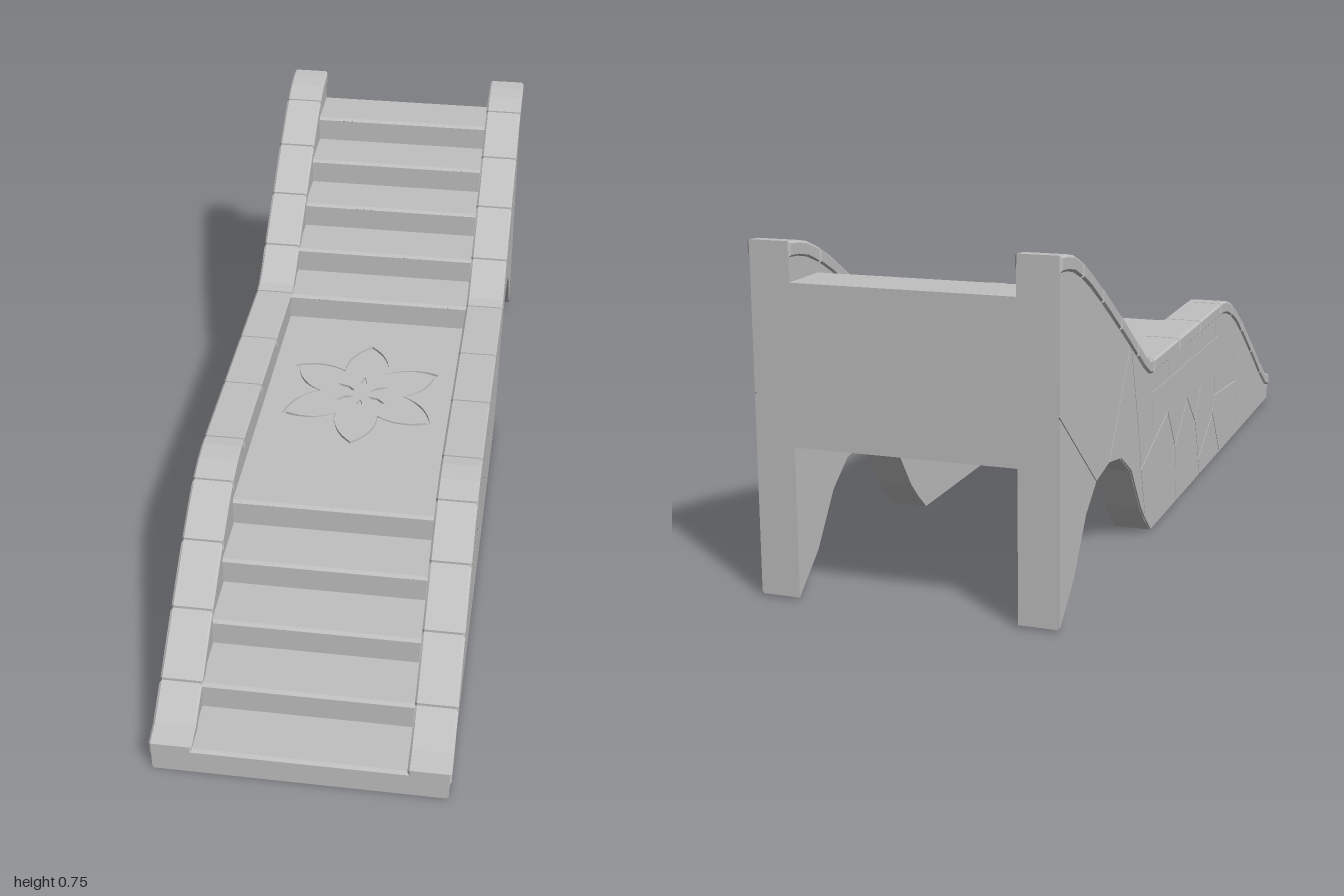
import * as THREE from 'three';

const stone = new THREE.MeshStandardMaterial({ color: 0xc0c0c0 });
stone.name = 'greyStone';

// Top line of the handrail as [z, y], front to back
const RAIL = [[1, .075], [.95, .088], [.87, .138], [.74, .228], [.61, .314], [.53, .362], [.465, .392],
  [.41, .408], [.365, .415], [.333, .415], [-.333, .408], [-.365, .414], [-.41, .438], [-.467, .476],
  [-.59, .556], [-.73, .643], [-.81, .69], [-.865, .718], [-.92, .739], [-.96, .747], [-1, .75]];

const ARCH = [[-.333, 0], [-.38, .04], [-.42, .08], [-.5, .19], [-.58, .24], [-.67, .255],
  [-.76, .24], [-.83, .19], [-.91, .08], [-1, .005]];

function railY(z) {
  for (let i = 1; i < RAIL.length; i++) {
    const [z0, y0] = RAIL[i - 1], [z1, y1] = RAIL[i];
    if (z >= z1) return y0 + (y1 - y0) * (z0 - z) / (z0 - z1);
  }
  return RAIL[RAIL.length - 1][1];
}

// Points along the rail from z0 back to z1, lowered by drop
function railLine(z0, z1, drop) {
  const zs = [z0, ...RAIL.map(p => p[0]).filter(z => z < z0 - .008 && z > z1 + .008), z1];
  return zs.map(z => [z, railY(z) - drop]);
}

const toShape = pts => new THREE.Shape(pts.map(p => new THREE.Vector2(p[0], p[1])));

// Extrude a side profile given as [z, y] between two x positions
function sideExtrude(pts, xa, xb, bevel = 0) {
  const x0 = Math.min(xa, xb), x1 = Math.max(xa, xb);
  const g = new THREE.ExtrudeGeometry(toShape(pts), {
    depth: x1 - x0 - 2 * bevel, bevelEnabled: bevel > 0,
    bevelSize: bevel, bevelThickness: bevel, bevelOffset: -bevel, bevelSegments: 1,
  });
  return g.rotateY(-Math.PI / 2).translate(x1 - bevel, 0, 0);
}

// Shrink a polygon by d so that neighbouring stones leave a joint
function inset(pts, d) {
  const v = pts.map(p => new THREE.Vector2(p[0], p[1]));
  if (THREE.ShapeUtils.area(v) < 0) v.reverse();
  return v.map((p, i) => {
    const a = p.clone().sub(v[(i + v.length - 1) % v.length]).normalize();
    const b = v[(i + 1) % v.length].clone().sub(p).normalize();
    const n = new THREE.Vector2(-a.y - b.y, a.x + b.x).normalize();
    const k = d / Math.max(.4, n.x * -a.y + n.y * a.x);
    return [p.x + n.x * k, p.y + n.y * k];
  });
}

function add(parent, geometry, name) {
  const mesh = new THREE.Mesh(geometry, stone);
  mesh.name = name;
  parent.add(mesh);
  return mesh;
}

// Irregular facing stones of the side walls
const top = (a, b) => railLine(a, b, .022);
const STONES = [
  [[1, 0], ...top(1, .61), [.56, .155], [.56, 0]],
  [...top(.61, .29), [.29, .25], [.3, .175], [.56, .155]],
  [[.56, .155], [.3, .175], [.275, .13], [.365, 0], [.56, 0]],
  [[.275, .13], [.125, .045], [.14, 0], [.365, 0]],
  [...top(.29, .145), [.145, .25], [.085, .155], [.125, .045], [.275, .13], [.3, .175], [.29, .25]],
  [...top(.145, 0), [0, .235], [.085, .155], [.145, .25]],
  [[.125, .045], [.085, .155], [0, .235], [-.115, .145], [-.1, 0], [.14, 0]],
  [...top(0, -.19), [-.19, .25], [-.115, .145], [0, .235]],
  [[-.115, .145], [-.19, .25], [-.42, .17], ARCH[1], ARCH[0], [-.1, 0]],
  [...top(-.19, -.51), [-.45, .29], [-.42, .17], [-.19, .25]],
  [...top(-.51, -.511), ARCH[5], ARCH[4], ARCH[3], ARCH[2], ARCH[1], [-.42, .17], [-.45, .29]],
  [...top(-.51, -1), [-1, .435], ARCH[6], ARCH[5]],
  [[-1, .435], ARCH[9], ARCH[8], ARCH[7], ARCH[6]],
];

const JOINTS = [1, .867, .733, .6, .467, .333, .105, -.105, -.333, -.467, -.6, -.733, -.867, -1];

function buildSide(s) {
  const side = new THREE.Group();
  side.name = s > 0 ? 'leftSide' : 'rightSide';
  // Wall core with the arched opening
  add(side, sideExtrude([[1, 0], ...railLine(1, -1, .02), ...ARCH.slice().reverse()], s * .24, s * .323), 'wall');
  for (const cell of STONES) add(side, sideExtrude(inset(cell, .0015), s * .322, s * .327), 'facingStone');
  // Long plaque beside the landing
  add(side, sideExtrude([[.333, .25], [.333, .33], [-.333, .33], [-.333, .25]], s * .322, s * .3285), 'sidePlaque');
  // Bevelled coping blocks
  for (let i = 0; i < JOINTS.length - 1; i++) {
    const a = JOINTS[i] - (i ? .002 : 0), b = JOINTS[i + 1] + (i < JOINTS.length - 2 ? .002 : 0);
    const pts = [...railLine(a, b, 0), ...railLine(a, b, .033).reverse()];
    add(side, sideExtrude(pts, s * .236, s * .332, .005), 'copingBlock');
  }
  return side;
}

// Six-petalled outline, scaled
function flower(k) {
  const path = new THREE.Shape();
  const at = (r, deg) => [k * r * Math.cos(deg * Math.PI / 180), k * r * Math.sin(deg * Math.PI / 180)];
  path.moveTo(...at(.11, 60));
  for (let a = 90; a < 450; a += 60) {
    path.quadraticCurveTo(...at(.176, a - 20), ...at(.215, a));
    path.quadraticCurveTo(...at(.176, a + 20), ...at(.11, a + 30));
  }
  return path;
}

function buildSteps() {
  const steps = new THREE.Group();
  steps.name = 'steps';
  const rise = 1 / 15, b = .007;
  // One stepped profile with chamfered nosings, hollow below the landing and upper flight
  const profile = [[1, 0]];
  const nosings = [];
  const stair = (z, y) => {
    profile.push([z, y - rise], [z, y - b], [z - b, y]);
    nosings.push([z, y]);
  };
  for (let i = 0; i < 5; i++) stair(1 - i * .1333, (i + 1) * rise);
  profile.push([.4, .3333], [.4, .327], [-.333, .327]);
  for (let i = 0; i < 5; i++) stair(-.333 - i * .1333, (i + 6) * rise);
  profile.push([-1, .6667], [-1, .327], [-.334, .325], [-.333, .25], [.333, .25], [.333, 0]);
  const clean = profile.filter((p, i) => !i || Math.hypot(p[0] - profile[i - 1][0], p[1] - profile[i - 1][1]) > .001);
  add(steps, sideExtrude(clean, -.24, .24), 'stairBody');

  // Worn chips along the nosings
  const chipX = [[-.15, .185], [.055], [-.075], [.18], [-.155]];
  nosings.forEach(([z, y], i) => chipX[i % 5].forEach(x => {
    const width = x === -.075 ? .055 : x === .055 || x === .185 ? .027 : .042;
    const chip = add(steps, new THREE.BoxGeometry(width, .009, .002), 'nosingChip');
    chip.position.set(x, y - b / 2, z - b / 2);
    chip.rotation.x = -Math.PI / 4;
  }));
  return steps;
}

// Landing surface with the engraved flower
function buildLanding() {
  const landing = new THREE.Group();
  landing.name = 'landing';
  const flat = shape => new THREE.ExtrudeGeometry(shape, { depth: .0063, bevelEnabled: false, curveSegments: 8 })
    .rotateX(-Math.PI / 2).translate(0, .327, 0);
  const plate = toShape([[-.24, -.4], [.24, -.4], [.24, .333], [-.24, .333]]);
  plate.holes.push(flower(1));
  add(landing, flat(plate), 'landingPlate');
  const petals = flower(.95);
  for (let i = 0; i < 6; i++) {
    const a = Math.PI / 2 + i * Math.PI / 3, c = Math.cos(a), s = Math.sin(a);
    const slot = [[.022, 0], [.045, .008], [.075, 0], [.045, -.008]];
    petals.holes.push(toShape(slot.map(([r, w]) => [r * c - w * s, r * s + w * c])));
  }
  add(landing, flat(petals), 'flowerRelief');
  return landing;
}

export function createModel() {
  const model = new THREE.Group();
  model.name = 'stoneStaircase';
  model.add(buildSide(1), buildSide(-1), buildSteps(), buildLanding());
  return model;
}
